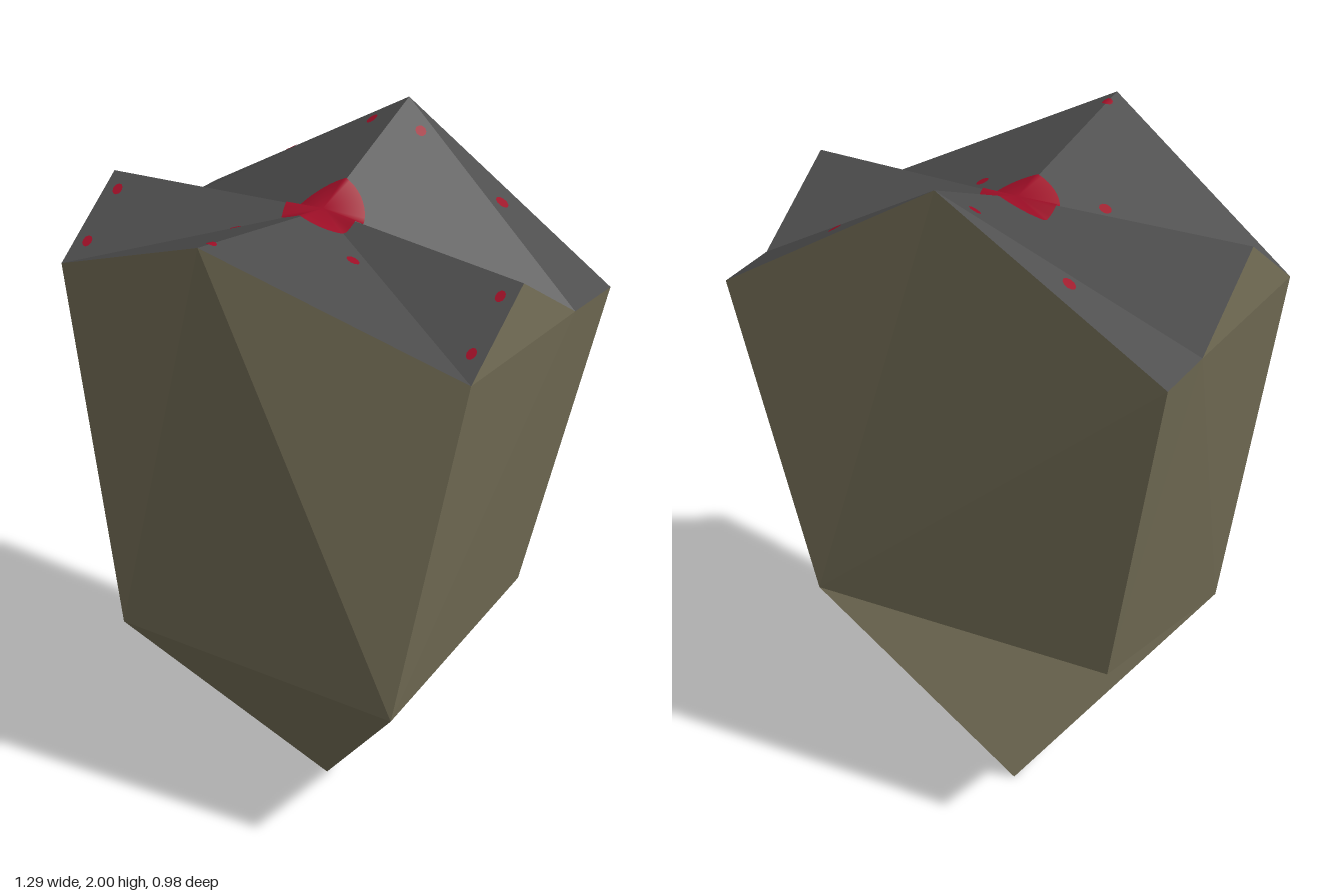
import * as THREE from 'three';

const bodyMat = new THREE.MeshStandardMaterial({ color: 0x767058 });
bodyMat.name = 'olive hide';
const capMat = new THREE.MeshStandardMaterial({ color: 0x4c4c4c });
capMat.name = 'dark grey';
const redMat = new THREE.MeshStandardMaterial({ color: 0x9c0e26 });
redMat.name = 'deep red';

const v = (x, y, z) => new THREE.Vector3(x, y, z);
const flip = (p) => v(-p.x, p.y, p.z);

// Corners on the +x side and the centre line
const peakF = v(0, 1.92, 0.487), peakB = v(0, 2, -0.488), hollow = v(0, 1.82, -0.07), tip = v(0, 0, -0.1);
const A = v(0.645, 1.615, 0.235), B = v(0.645, 1.8, -0.01), C = v(0.645, 1.61, -0.29), D = v(0.645, 1.605, -0.482);
const lowF = v(0.45, 0.56, 0.27), lowB = v(0.45, 0.675, -0.398);

const mirrored = (tris) => tris.concat(tris.map((t) => t.map(flip)));

// Flat-faced mesh; every triangle is turned to face away from an inner point
function facetMesh(name, tris, inner, material) {
  const points = [];
  for (const [a, b, c] of tris) {
    const n = b.clone().sub(a).cross(c.clone().sub(a));
    const out = a.clone().add(b).add(c).divideScalar(3).sub(inner);
    points.push(...(n.dot(out) > 0 ? [a, b, c] : [a, c, b]));
  }
  const g = new THREE.BufferGeometry().setFromPoints(points);
  g.computeVertexNormals();
  const m = new THREE.Mesh(g, material);
  m.name = name;
  return m;
}

const capTris = mirrored([
  [hollow, peakF, A], [hollow, A, B], [hollow, B, C], [hollow, C, peakB], [C, D, peakB],
]);

// Height of the folded top at (x, z)
function capHeight(x, z) {
  for (const [a, b, c] of capTris) {
    const det = (b.z - c.z) * (a.x - c.x) + (c.x - b.x) * (a.z - c.z);
    const u = ((b.z - c.z) * (x - c.x) + (c.x - b.x) * (z - c.z)) / det;
    const w = ((c.z - a.z) * (x - c.x) + (a.x - c.x) * (z - c.z)) / det;
    if (u > -1e-6 && w > -1e-6 && u + w < 1 + 1e-6) return u * a.y + w * b.y + (1 - u - w) * c.y;
  }
  return hollow.y;
}

// Thin painted disc draped over the folded top
function spot(name, x, z, r, sides) {
  const g = new THREE.CircleGeometry(r, sides).rotateX(-Math.PI / 2).translate(x, 0, z);
  const p = g.attributes.position;
  for (let i = 0; i < p.count; i++) p.setY(i, capHeight(p.getX(i), p.getZ(i)) + 0.004);
  g.computeVertexNormals();
  const m = new THREE.Mesh(g, redMat);
  m.name = name;
  return m;
}

export function createModel() {
  const model = new THREE.Group();
  model.name = 'taperedShard';
  const core = v(0, 1.1, -0.05);

  // Walls
  model.add(facetMesh('frontWall', [[peakF, lowF, flip(lowF)], ...mirrored([[peakF, A, lowF]])], core, bodyMat));
  model.add(facetMesh('sideWalls', mirrored([
    [A, B, C], [A, C, lowF], [C, lowB, lowF], [C, D, lowB],
  ]), core, bodyMat));
  model.add(facetMesh('backWall', [
    [lowB, flip(lowB), flip(D)], [lowB, flip(D), peakB], [lowB, peakB, D],
  ], core, bodyMat));

  // Underside: one flat corner, and a lopsided spike on the other three corners
  model.add(facetMesh('underside', [[lowB, flip(lowB), flip(lowF)]], core, bodyMat));
  model.add(facetMesh('spike', [
    [lowF, flip(lowF), tip], [lowF, lowB, tip], [lowB, flip(lowF), tip],
  ], v(0.11, 0.45, 0), bodyMat));

  // Folded top with its red markings
  model.add(facetMesh('foldedTop', capTris, v(0, 1, 0), capMat));
  model.add(spot('centreSpot', hollow.x, hollow.z, 0.11, 64));
  const dots = [[0.34, -0.42, 0.017], [0.185, 0.068, 0.017], [0.078, -0.425, 0.015],
    [0.603, 0.033, 0.014], [0.605, 0.17, 0.014]];
  for (const [x, z, r] of dots) {
    for (const s of [1, -1]) model.add(spot('smallSpot', s * x, z, r, 10));
  }
  model.add(spot('frontSpot', 0, 0.43, 0.015, 10));
  return model;
}
